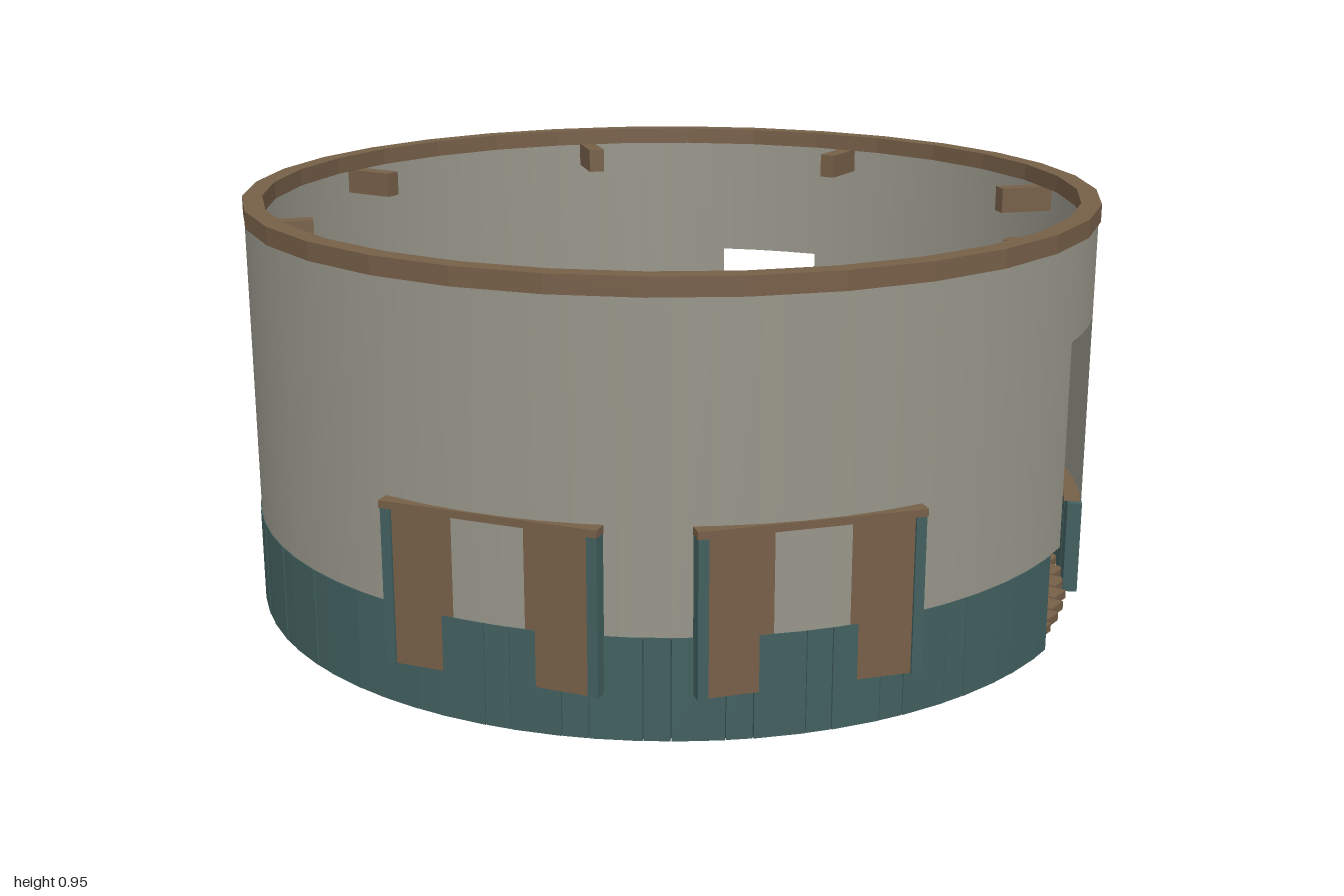
import * as THREE from 'three';

const paint = (name, color, opts = {}) => {
  const m = new THREE.MeshStandardMaterial({ color, ...opts });
  m.name = name;
  return m;
};
const rad = THREE.MathUtils.degToRad;

export function createModel() {
  const plaster = paint('grey plaster', 0x98968a, { side: THREE.DoubleSide });
  const wood = paint('brown wood', 0x765f48, { flatShading: true });
  const teal = paint('dark teal', 0x42605f, { flatShading: true });

  const model = new THREE.Group();
  model.name = 'roundRoom';
  const room = new THREE.Group();
  room.name = 'room';
  room.position.set(0.015, 0, -0.005);
  model.add(room);
  const R = 0.98;

  const group = (name, parent = room) => {
    const g = new THREE.Group();
    g.name = name;
    parent.add(g);
    return g;
  };
  const box = (name, parent, mat, w, h, d, x, y, z) => {
    const m = new THREE.Mesh(new THREE.BoxGeometry(w, h, d), mat);
    m.name = name;
    m.position.set(x, y, z);
    parent.add(m);
    return m;
  };
  // Group turned so that its local +z points outward; angle in degrees from the front
  const spoke = (name, angle, parent = room) => {
    const g = group(name, parent);
    g.rotation.y = rad(angle);
    return g;
  };

  // Upper wall, in curved pieces around the door and two window openings
  const wall = group('upperWall');
  const wallPiece = (a0, a1, y0, y1) => {
    const n = Math.max(2, Math.round((a1 - a0) / 5));
    const geo = new THREE.CylinderGeometry(R, R, y1 - y0, n, 1, true, rad(a0), rad(a1 - a0));
    const m = new THREE.Mesh(geo, plaster);
    m.name = 'wallPiece';
    m.position.y = (y0 + y1) / 2;
    wall.add(m);
  };
  const openings = [
    [7.3, 21.9, 0.23, 0.695],
    [102.1, 117.7, 0.24, 0.6],
    [160.6, 170.3, 0.23, 0.56],
  ];
  let from = openings[2][1] - 360;
  for (const [a0, a1, y0, y1] of openings) {
    wallPiece(from, a0, 0.23, 0.92);
    wallPiece(a0, a1, y1, 0.92);
    if (y0 > 0.23) wallPiece(a0, a1, 0.23, y0);
    from = a1;
  }

  // Top ring beam
  const ringProfile = [[0.94, 0.91], [0.985, 0.91], [0.985, 0.95], [0.94, 0.95], [0.94, 0.91]];
  const ring = new THREE.Mesh(
    new THREE.LatheGeometry(ringProfile.map(p => new THREE.Vector2(...p)), 32), wood);
  ring.name = 'topRing';
  room.add(ring);

  // Short rafters under the ring
  for (let i = 0; i < 8; i++)
    box('rafter', spoke('rafterMount', 6 + i * 45), wood, 0.04, 0.06, 0.13, 0, 0.88, 0.895);

  // Lower cladding of wide and narrow boards, with a wooden cap rail
  const cladding = group('lowerCladding');
  for (const [a0, a1] of [[25.1, 158.1], [173.3, 363.8]]) {
    const pairs = Math.round((a1 - a0) / 9.6);
    const step = (a1 - a0) / pairs;
    for (let i = 0; i < pairs; i++) {
      for (const [start, size] of [[0, 0.66], [0.66, 0.34]]) {
        const mid = a0 + (i + start + size / 2) * step;
        const w = 2 * R * Math.tan(rad(step * size) / 2) - 0.002;
        box('board', spoke('boardMount', mid, cladding), teal, w, 0.22, 0.033, 0, 0.12, 0.9645);
      }
    }
    const railProfile = [[0.941, 0.226], [0.978, 0.226], [0.978, 0.236], [0.941, 0.236], [0.941, 0.226]];
    const rail = new THREE.Mesh(new THREE.LatheGeometry(
      railProfile.map(p => new THREE.Vector2(...p)), 30, rad(a0), rad(a1 - a0)), wood);
    rail.name = 'capRail';
    room.add(rail);
  }

  // Floor planks with staggered joints, trimmed to the round outline
  const floor = group('floor');
  let seed = 7;
  const random = () => (seed = (seed * 16807) % 2147483647) / 2147483647;
  const pitch = 0.0672, gap = 0.007;
  for (let i = -13; i <= 13; i++) {
    const x = i * pitch;
    const edge = Math.abs(x) + pitch / 2;
    const half = Math.sqrt(Math.max(0.05, 0.962 ** 2 - edge ** 2));
    let z = -half;
    let length = 0.15 + random() * 0.35;
    while (z < half - 0.01) {
      let end = Math.min(half, z + length);
      if (half - end < 0.1) end = half;
      box('plank', floor, wood, pitch - gap, 0.02, end - z - gap, x, 0.02, (z + end) / 2);
      z = end;
      length = 0.4 + random() * 0.2;
    }
  }

  // Thin pipe running under the floor
  const pipePath = new THREE.LineCurve3(
    new THREE.Vector3(-0.28, 0.006, -0.79), new THREE.Vector3(0.46, 0.006, 0.16));
  const pipe = new THREE.Mesh(new THREE.TubeGeometry(pipePath, 1, 0.005, 6), plaster);
  pipe.name = 'underfloorPipe';
  room.add(pipe);

  // Two framed window panels on the outside of the wall
  for (const angle of [-36.9, -75]) {
    const frame = spoke('windowFrame', angle);
    box('windowPanel', frame, wood, 0.45, 0.335, 0.008, 0, 0.277, 0.972);
    box('windowLintel', frame, wood, 0.475, 0.016, 0.1, 0, 0.452, 0.935);
    for (const s of [-1, 1])
      box('windowPost', frame, teal, 0.022, 0.335, 0.09, s * 0.225, 0.277, 0.937);
  }

  // Four small blocks, each above a thin wooden plate
  const blocks = group('centreBlocks');
  for (const x of [-0.215, 0.205])
    for (const z of [-0.21, 0.21]) {
      box('block', blocks, teal, 0.046, 0.02, 0.046, x, 0.112, z);
      box('blockPlate', blocks, wood, 0.046, 0.008, 0.046, x, 0.05, z);
    }

  // Desk against the wall
  const desk = spoke('desk', 221.2);
  box('deskTop', desk, wood, 0.32, 0.018, 0.1, 0, 0.2, 0.867);
  for (const s of [-1, 1])
    for (const z of [0.835, 0.9])
      box('deskLeg', desk, teal, 0.02, 0.192, 0.02, s * 0.13, 0.096, z);
  for (let i = 0; i < 5; i++)
    box('deskSlat', desk, teal, 0.01, 0.012, 0.06, -0.05 + i * 0.02, 0.215, 0.867);
  for (const s of [-1, 1]) {
    const bar = box('deskBar', desk, teal, 0.008, 0.008, 0.05, 0.105 + s * 0.012, 0.213, 0.867);
    bar.rotation.y = s * 0.5;
  }

  // Standing post with a tilted head
  const stand = spoke('stand', 200.8);
  box('standPost', stand, teal, 0.04, 0.45, 0.025, 0, 0.235, 0.875);
  const head = box('standHead', stand, teal, 0.045, 0.02, 0.07, 0, 0.47, 0.855);
  head.rotation.x = 0.5;
  const face = box('standFace', stand, plaster, 0.03, 0.006, 0.03, 0, 0.486, 0.84);
  face.rotation.x = 0.5;

  return model;
}
